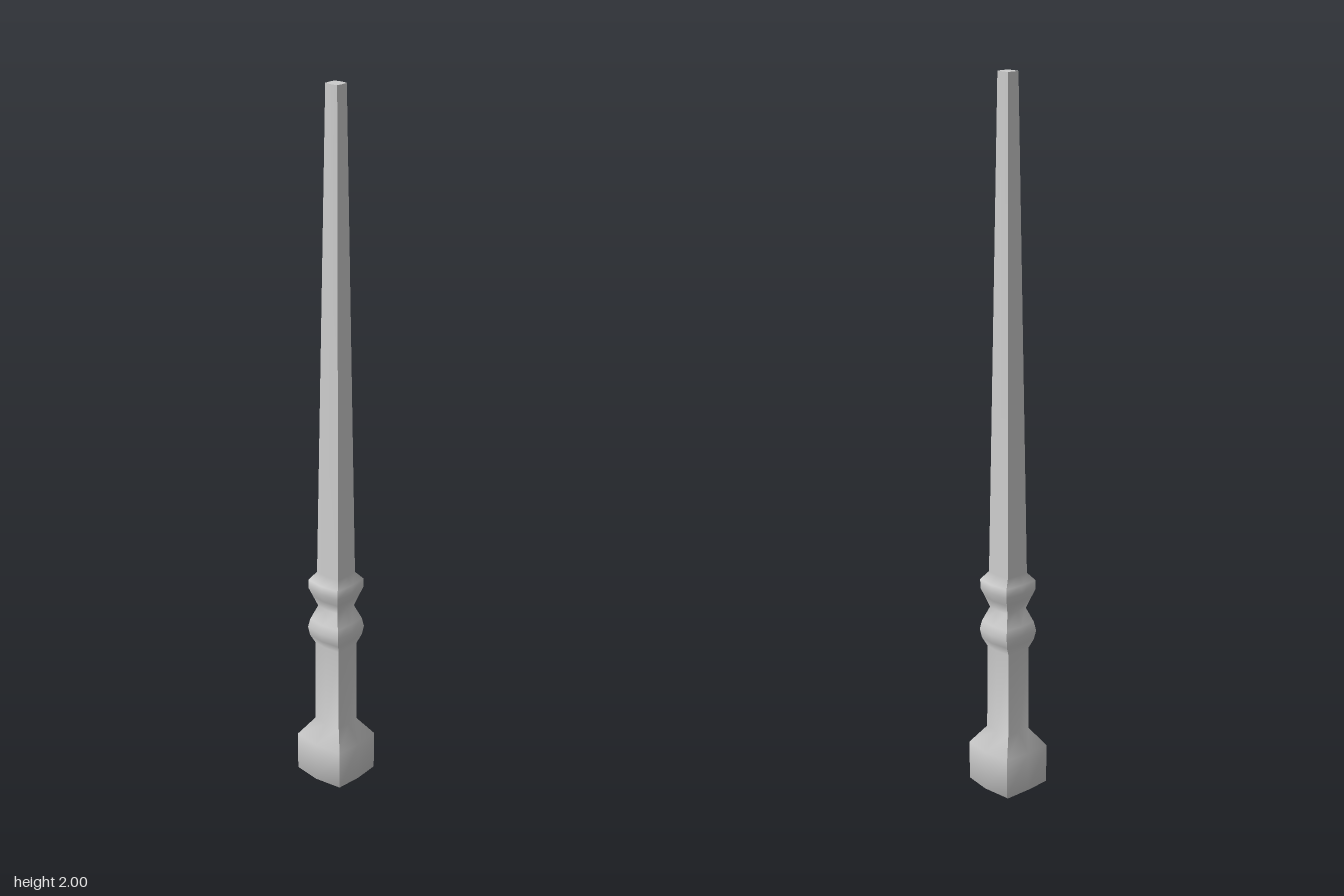
import * as THREE from 'three';

// Profile from pointed foot to tip: [height, half width x, half depth z]
const profile = [
  [0, 0.001, 0.001], [0.06, 0.083, 0.084], [0.17, 0.083, 0.084], [0.22, 0.043, 0.047],
  [0.46, 0.042, 0.046], [0.485, 0.056, 0.055], [0.51, 0.061, 0.059], [0.535, 0.056, 0.054],
  [0.575, 0.038, 0.038], [0.605, 0.05, 0.048], [0.63, 0.06, 0.057], [0.655, 0.06, 0.057],
  [0.677, 0.039, 0.041], [2, 0.02, 0.021],
];

// Bowed square section: corners sit slightly inside the side midpoints
const CX = 0.87, CZ = 0.93;
const section = [
  [CX, CZ], [1, 0], [CX, -CZ], [0, -1], [-CX, -CZ], [-1, 0], [-CX, CZ], [0, 1],
];

// One side: smooth over its centre line and along the height, sharp at its corners
function sideGeometry(side) {
  const positions = [], index = [];
  profile.forEach(([y, hx, hz], row) => {
    for (let c = 0; c < 3; c++) {
      const [u, v] = section[(side * 2 + c) % 8];
      positions.push(u * hx, y, v * hz);
    }
    if (row === 0) return;
    for (let c = 0; c < 2; c++) {
      const a = (row - 1) * 3 + c, b = a + 1, d = a + 3, e = a + 4;
      index.push(a, b, e, a, e, d);
    }
  });
  const geometry = new THREE.BufferGeometry();
  geometry.setAttribute('position', new THREE.Float32BufferAttribute(positions, 3));
  geometry.setIndex(index);
  geometry.computeVertexNormals();
  return geometry;
}

export function createModel() {
  const group = new THREE.Group();
  group.name = 'taperedSpindle';
  const material = new THREE.MeshStandardMaterial({ color: 0xcccccc });

  // Four long sides running from foot to tip
  const shaft = new THREE.Group();
  shaft.name = 'shaft';
  ['leftSide', 'backSide', 'rightSide', 'frontSide'].forEach((name, i) => {
    const mesh = new THREE.Mesh(sideGeometry(i), material);
    mesh.name = name;
    shaft.add(mesh);
  });
  group.add(shaft);

  // Flat cap closing the tip
  const [tipY, tipX, tipZ] = profile[profile.length - 1];
  const outline = new THREE.Shape(section.map(([u, v]) => new THREE.Vector2(u * tipX, -v * tipZ)));
  const cap = new THREE.Mesh(new THREE.ShapeGeometry(outline).rotateX(-Math.PI / 2), material);
  cap.name = 'tipCap';
  cap.position.y = tipY;
  group.add(cap);

  return group;
}
